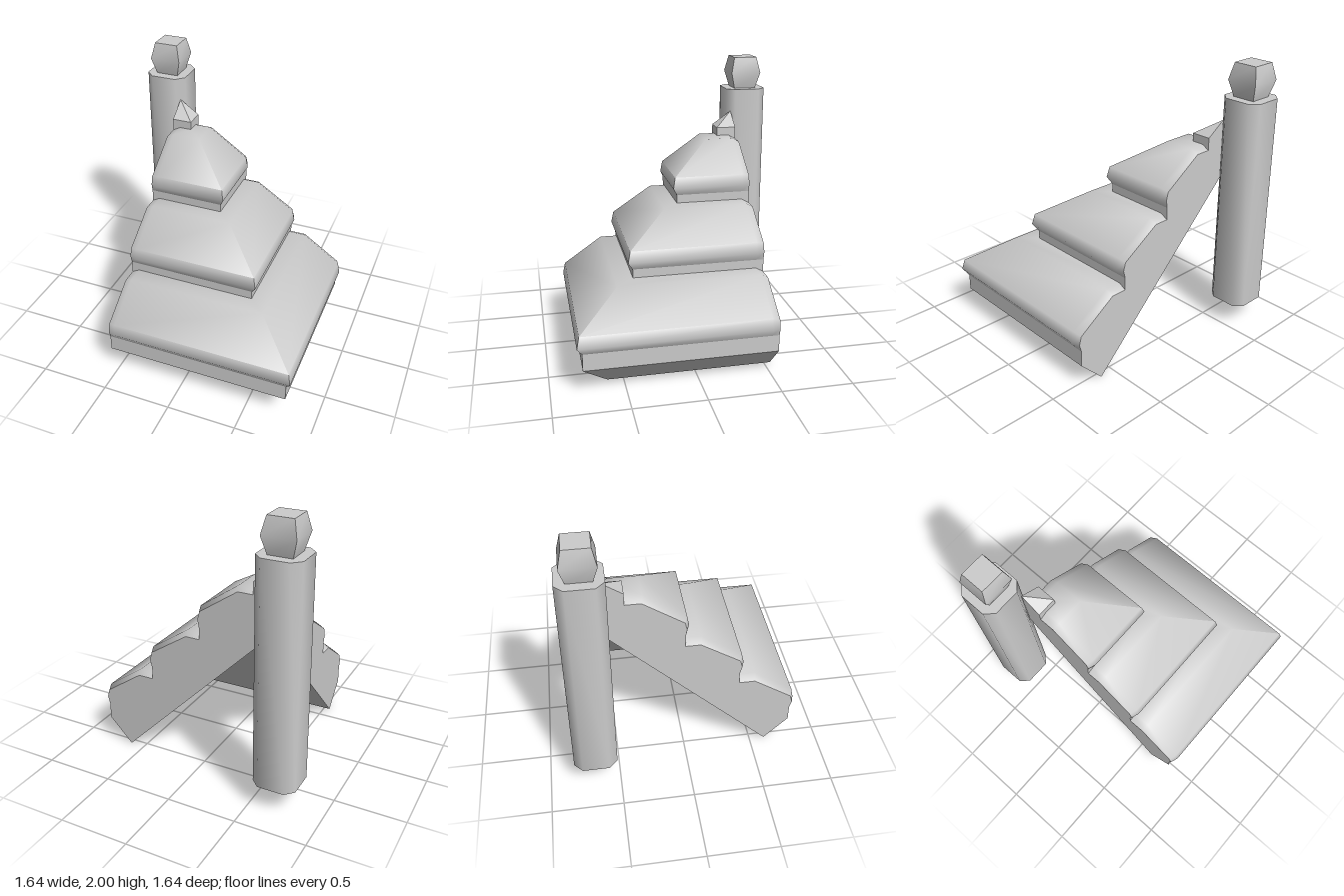
import * as THREE from 'three';
import { toCreasedNormals } from 'three/addons/utils/BufferGeometryUtils.js';

const CUT = -0.545;    // plane of both cut ends
const INSET = -0.49;   // where the tile ends start to round off
const POST = -0.67;    // post centre in x and z

const grey = new THREE.MeshStandardMaterial({ color: 0xcccccc });
const greyDouble = new THREE.MeshStandardMaterial({ color: 0xcccccc, side: THREE.DoubleSide });

function addMesh(group, name, geometry, material = grey) {
  const mesh = new THREE.Mesh(geometry, material);
  mesh.name = name;
  group.add(mesh);
  return mesh;
}

// Quads between rows of points: rows[j][i] = [x, y, z]
function skin(rows, crease) {
  const pos = [];
  for (let j = 0; j < rows.length - 1; j++) {
    for (let i = 0; i < rows[j].length - 1; i++) {
      const a = rows[j][i], b = rows[j][i + 1];
      const c = rows[j + 1][i + 1], d = rows[j + 1][i];
      pos.push(...a, ...d, ...c, ...a, ...c, ...b);
    }
  }
  const geo = new THREE.BufferGeometry();
  geo.setAttribute('position', new THREE.Float32BufferAttribute(pos, 3));
  return toCreasedNormals(geo, crease);
}

// Sweep a profile of [distance, height] round the mitred hip corner
function hipSweep(profile, crease, endProfile) {
  const xSide = (pts, z) => pts.map(([d, y]) => [d, y, z]);
  const zSide = (pts, x) => pts.map(([d, y]) => [x, y, d]);
  const rows = [profile.map(([d, y]) => [d, y, d])];
  if (endProfile) {
    rows.unshift(xSide(profile, INSET));
    rows.push(zSide(profile, INSET));
  }
  const end = endProfile || profile;
  rows.unshift(xSide(end, CUT));
  rows.push(zSide(end, CUT));
  return skin(rows, crease);
}

export function createModel() {
  const model = new THREE.Group();
  const roof = new THREE.Group();
  roof.name = 'roofCorner';
  model.add(roof);

  // Pointed cap at the apex of the hip
  const capProfile = [[CUT, 1.59], [-0.4, 1.49], [-0.4, 1.38]];
  addMesh(roof, 'apexCap', hipSweep(capProfile, 0.2));

  // Three tile courses, each with a sloping face and a tucked-in lip
  const courses = [
    [[-0.4, 1.43], [-0.28, 1.43], [0.015, 1.225], [0.03, 1.145], [0, 1.09]],
    [[0, 1.03], [0.115, 1.03], [0.408, 0.835], [0.425, 0.755], [0.39, 0.697]],
    [[0.39, 0.635], [0.515, 0.635], [0.803, 0.435], [0.82, 0.355], [0.785, 0.3]],
  ];
  const outline = capProfile.slice(0, 2);
  courses.forEach((course, n) => {
    // At the cut ends the tile sinks slightly
    const end = course.map(([d, y], i) => [
      d - [0, 0.01, 0.02, 0.02, 0][i],
      y - [0.03, 0.03, 0.02, 0, 0][i],
    ]);
    addMesh(roof, 'tileCourse' + (n + 1), hipSweep(course, 1.0, end));
    outline.push(...end);

    // Upright riser below the course, running into the next one
    const [d, y] = course[4];
    const bottom = n < 2 ? courses[n + 1][0][1] - 0.05 : 0.18;
    addMesh(roof, n < 2 ? 'riser' + (n + 1) : 'fascia', hipSweep([[d, y], [d, bottom]], 0.2));
  });

  // Bevelled eave and sloping underside
  const under = [[0.785, 0.18], [0.61, 0], [CUT, 1.155]];
  addMesh(roof, 'underside', hipSweep(under, 0.2));
  outline.push(...under);

  // Flat cut ends
  const endShape = new THREE.Shape(outline.map(([d, y]) => new THREE.Vector2(d, y)));
  const backEnd = addMesh(roof, 'backCutEnd', new THREE.ShapeGeometry(endShape), greyDouble);
  backEnd.position.z = CUT;
  const sideEnd = addMesh(roof, 'sideCutEnd', new THREE.ShapeGeometry(endShape), greyDouble);
  sideEnd.rotation.y = -Math.PI / 2;
  sideEnd.position.x = CUT;

  // Square post with chamfered corners
  const h = 0.153, k = 0.094;
  const postShape = new THREE.Shape(
    [[h, -k], [h, k], [k, h], [-k, h], [-h, k], [-h, -k], [-k, -h], [k, -h]]
      .map(([x, y]) => new THREE.Vector2(x, y)));
  const postGeo = new THREE.ExtrudeGeometry(postShape, { depth: 1.58, bevelEnabled: false });
  postGeo.rotateX(-Math.PI / 2);
  const post = addMesh(model, 'post', toCreasedNormals(postGeo, 0.9));
  post.position.set(POST, 0.18, POST);

  // Faceted finial on the post: a box widened at mid height
  const finialGeo = new THREE.BoxGeometry(1, 0.24, 1, 1, 2, 1);
  const p = finialGeo.attributes.position;
  for (let i = 0; i < p.count; i++) {
    const y = p.getY(i);
    const w = y > 0.01 ? 0.176 : y < -0.01 ? 0.166 : 0.23;
    p.setX(i, p.getX(i) * w);
    p.setZ(i, p.getZ(i) * w);
  }
  const finial = addMesh(model, 'postFinial', toCreasedNormals(finialGeo, 0.7));
  finial.position.set(POST, 1.88, POST);

  return model;
}
